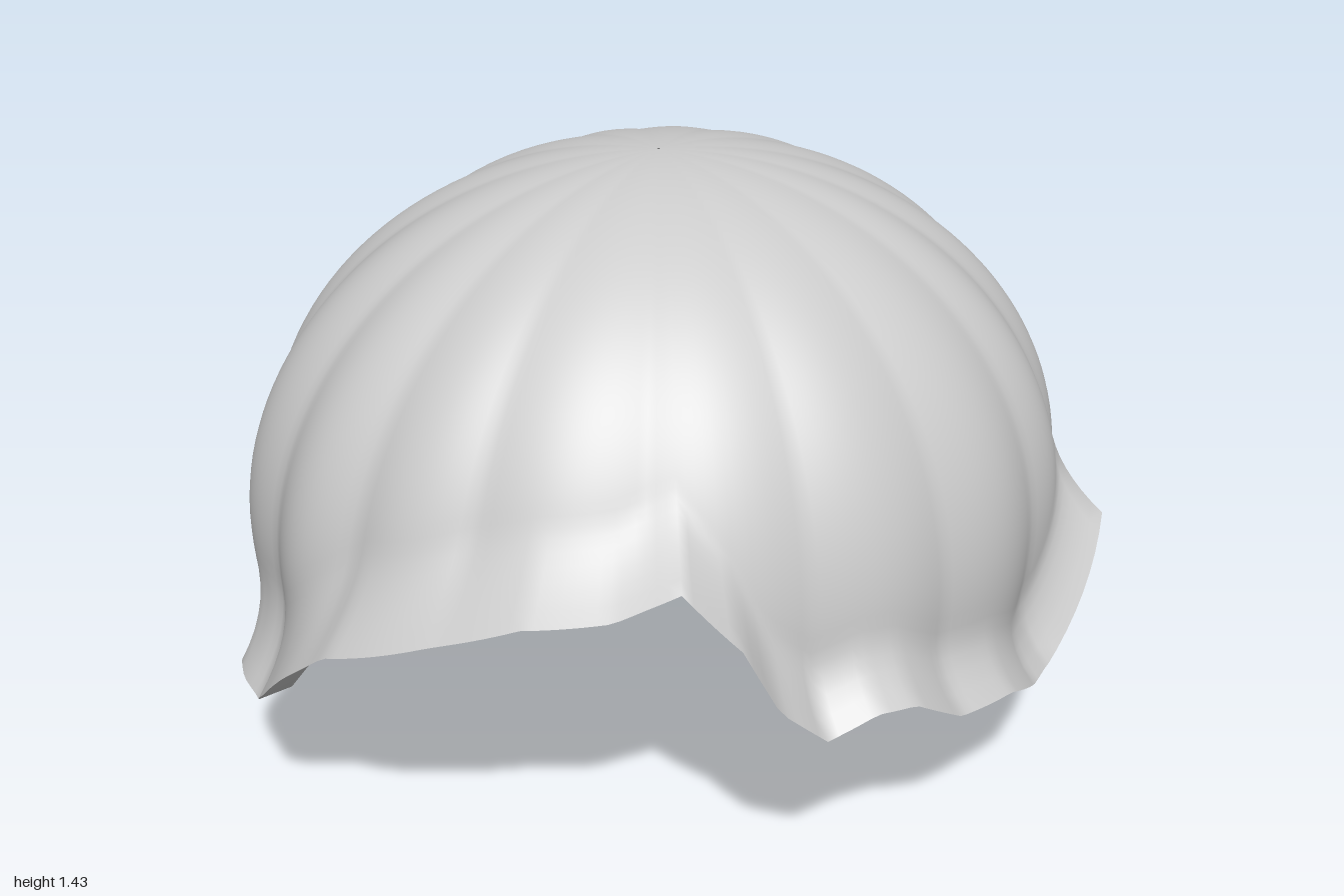
import * as THREE from 'three';

const COLS = 240, APEX = 1.435, MID_Y = 0.65, CENTRE_Z = -0.04;
const DEG = Math.PI / 180;

// Height of the cut edge: [angle in degrees from the front towards +x, y]
const RIM = [
  [0, 0.5], [7, 0.54], [13, 0.53], [23, 0.43], [34, 0.41], [45, 0.33], [51.5, 0.33],
  [63, 0.62], [74, 0.46], [83, 0.36], [87, 0.33], [96, 0.345], [102, 0.3], [108, 0.22],
  [115, 0.16], [123, 0.15], [137, 0], [148, 0.06], [155, 0.05], [168, 0.01], [180, 0.06],
  [192, 0.01], [205, 0.05], [212, 0.06], [223, 0], [237, 0.15], [245, 0.16], [252, 0.22],
  [258, 0.3], [264, 0.34], [273, 0.33], [280, 0.42], [287, 0.53], [295, 0.64], [309, 0.73],
  [321, 0.8], [332, 0.82], [340.5, 0.87], [348, 0.75], [353, 0.6], [360, 0.5],
];

// Grooves between the locks, mirrored left and right
const HALF = [0, 24, 49, 68, 88, 112, 137, 168];
const GROOVES = [...HALF, ...HALF.slice(1).reverse().map(a => 360 - a), 360];

function rimHeight(angle) {
  const k = RIM.findIndex(p => p[0] > angle);
  const [a0, y0] = RIM[k - 1], [a1, y1] = RIM[k];
  return y0 + (y1 - y0) * (angle - a0) / (a1 - a0);
}

// 0 on the crown of a lock, 1 in a groove
function grooveDepth(angle) {
  const k = GROOVES.findIndex(a => a > angle);
  const u = (angle - GROOVES[k - 1]) / (GROOVES[k] - GROOVES[k - 1]);
  return 1 - Math.pow(Math.sin(Math.PI * u), 1.1);
}

// Point on the cap; s runs from the apex (0) to the rim (1), inset is the wall thickness at the rim
function capPoint(angle, s, inset) {
  const rim = rimHeight(angle) + inset * 0.12;
  const p = Math.atan2(Math.sin(angle * DEG), (Math.cos(angle * DEG) + 0.04) / 0.91);
  const c = Math.cos(p);
  const y = APEX - (APEX - rim) * (1 - Math.cos(s * Math.PI / 2));
  let f;
  if (y > MID_Y) f = Math.sqrt(Math.max(0, 1 - ((y - MID_Y) / (APEX - MID_Y)) ** 2));
  else f = Math.max(0.915, 1 - 0.08 * ((MID_Y - y) / 0.36) ** 2);

  // The edge flares out, most at the sides and least at the back
  const flareHeight = c > 0 ? 0.25 - 0.11 * c : 0.24;
  const flareWidth = c > 0 ? 0.12 - 0.03 * c : 0.05 + 0.07 * Math.max(0, 1 + 2 * c);
  const t = Math.max(0, 1 - (y - rim) / flareHeight);

  // The wall thickens upwards from the rim
  const wall = inset * (1 + 1.4 * Math.min(1, (y - rim) / 0.35));
  const shrink = f * (1 - (0.033 - 0.012 * c) * grooveDepth(angle) * (1 - 0.7 * t));
  const out = flareWidth * t * t - wall * f;
  return [
    (0.93 * shrink + out) * Math.sin(p),
    y - wall * Math.max(0, (y - MID_Y) / (APEX - MID_Y)),
    CENTRE_Z + (0.835 * shrink + out) * c,
  ];
}

// Closed band of quads through a list of rows given as [s, inset]
function bandGeometry(rows) {
  const pos = [], index = [];
  rows.forEach(([s, inset], i) => {
    for (let j = 0; j < COLS; j++) {
      pos.push(...capPoint(j * 360 / COLS, s, inset));
      if (i === rows.length - 1) continue;
      const a = i * COLS + j, b = i * COLS + (j + 1) % COLS;
      index.push(a, a + COLS, b + COLS, a, b + COLS, b);
    }
  });
  const g = new THREE.BufferGeometry();
  g.setAttribute('position', new THREE.Float32BufferAttribute(pos, 3));
  g.setIndex(index);
  g.computeVertexNormals();
  return g;
}

export function createModel() {
  const model = new THREE.Group();
  model.name = 'hairCap';
  const grey = new THREE.MeshStandardMaterial({ color: 0xcccccc, side: THREE.DoubleSide });
  grey.name = 'light grey';

  const add = (name, geometry) => {
    const mesh = new THREE.Mesh(geometry, grey);
    mesh.name = name;
    model.add(mesh);
    return mesh;
  };

  // Fluted outer dome, thick cut edge and inner wall
  const THICK = 0.085, N = 48;
  const steps = Array.from({ length: N + 1 }, (_, i) => i / N);
  add('outerHair', bandGeometry(steps.map(s => [Math.max(s, 0.002), 0])));
  add('cutEdge', bandGeometry([[1, 0], [1, THICK]]));
  add('innerHair', bandGeometry(steps.slice(1).reverse().map(s => [s, THICK])));

  // Upright sheet across the inside, with rounded lower corners
  const outline = new THREE.Shape();
  outline.moveTo(-0.5, 0.42);
  outline.lineTo(0.5, 0.42);
  outline.quadraticCurveTo(0.66, 0.45, 0.76, 0.6);
  outline.lineTo(0.78, 0.8);
  outline.lineTo(0.5, 1.15);
  outline.lineTo(-0.5, 1.15);
  outline.lineTo(-0.78, 0.8);
  outline.lineTo(-0.76, 0.6);
  outline.quadraticCurveTo(-0.66, 0.45, -0.5, 0.42);
  add('innerSheet', new THREE.ShapeGeometry(outline)).position.z = 0.07;

  return model;
}
